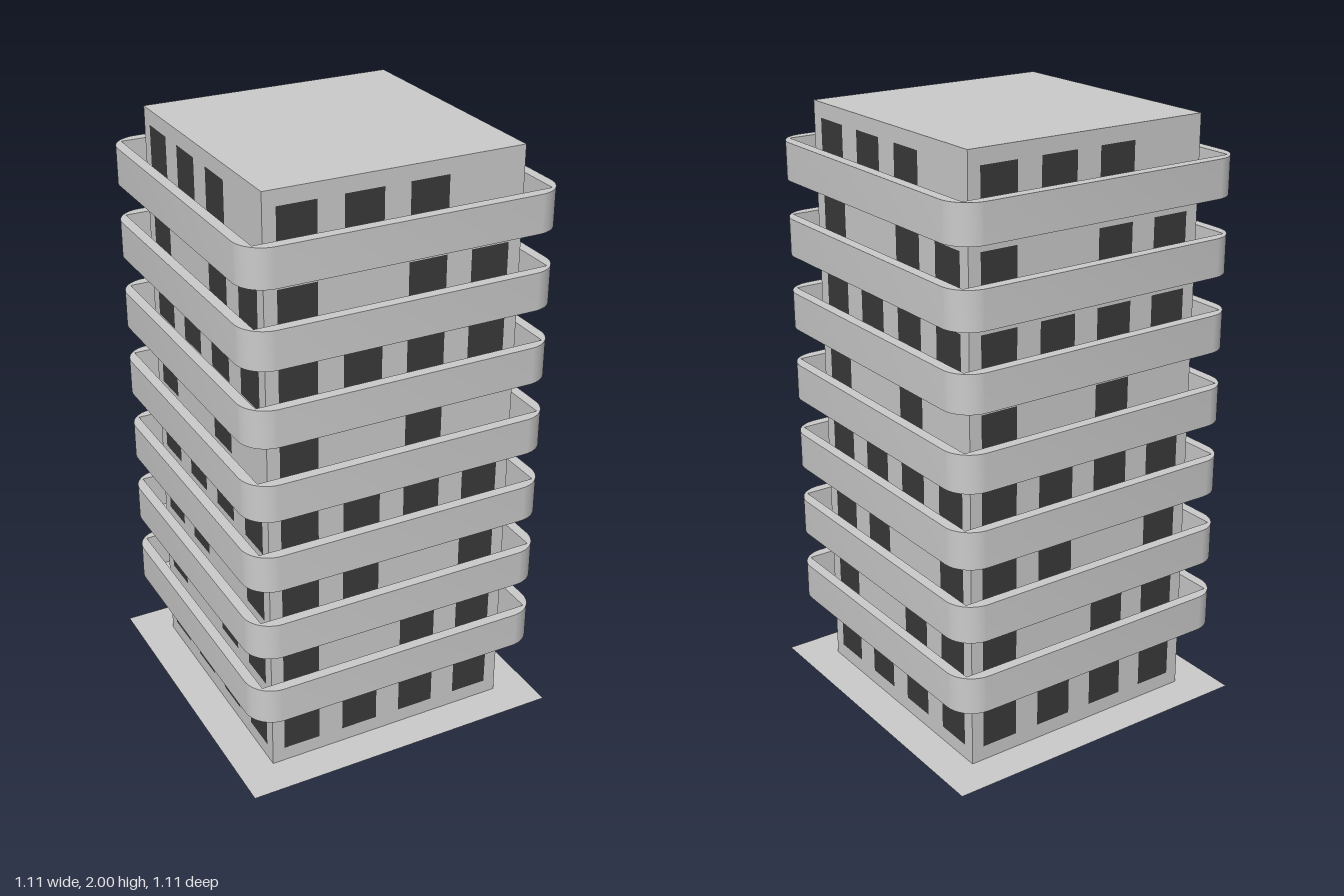
import * as THREE from 'three';
import { toCreasedNormals } from 'three/addons/utils/BufferGeometryUtils.js';

const HALF = 0.43;      // half width of the tower
const STOREY = 0.25;    // storey height
const CELL = HALF / 2;  // window spacing
// Windows on each storey, ground floor first, left to right
const PATTERN = ['1111', '1011', '1101', '1111', '1010', '1111', '1011', '1110'];

const grey = new THREE.MeshStandardMaterial({ color: 0xcccccc, side: THREE.DoubleSide });
const dark = new THREE.MeshStandardMaterial({ color: 0x3a3a3a, side: THREE.DoubleSide });

function rect(x0, y0, x1, y1, Type = THREE.Shape) {
  return new Type([[x0, y0], [x1, y0], [x1, y1], [x0, y1]].map(p => new THREE.Vector2(...p)));
}

function squareRing(outer, inner) {
  const shape = rect(-outer, -outer, outer, outer);
  shape.holes.push(rect(-inner, -inner, inner, inner, THREE.Path));
  return shape;
}

function roundedSquare(h, r) {
  const s = new THREE.Shape(), c = h - r;
  s.absarc(c, c, r, 0, Math.PI / 2);
  s.absarc(-c, c, r, Math.PI / 2, Math.PI);
  s.absarc(-c, -c, r, Math.PI, Math.PI * 1.5);
  s.absarc(c, -c, r, Math.PI * 1.5, Math.PI * 2);
  s.closePath();
  return s;
}

function part(name, geometry, material, y = 0) {
  const mesh = new THREE.Mesh(geometry, material);
  mesh.name = name;
  mesh.position.y = y;
  return mesh;
}

const flat = shape => new THREE.ShapeGeometry(shape).rotateX(-Math.PI / 2);

export function createModel() {
  const tower = new THREE.Group();
  tower.name = 'apartmentTower';

  // One facade: wall with openings and flush panes, repeated on four sides
  const wall = rect(-HALF, 0, HALF, STOREY * PATTERN.length);
  const panes = [];
  PATTERN.forEach((row, floor) => [...row].forEach((on, i) => {
    if (on !== '1') return;
    const x = (i - 1.5) * CELL, w = CELL * 0.3, y = floor * STOREY;
    const corners = [x - w, y + 0.05, x + w, y + 0.2];
    wall.holes.push(rect(...corners, THREE.Path));
    panes.push(rect(...corners));
  }));
  const wallGeo = new THREE.ShapeGeometry(wall).translate(0, 0, HALF);
  const paneGeo = new THREE.ShapeGeometry(panes).translate(0, 0, HALF);
  ['front', 'left', 'back', 'right'].forEach((side, i) => {
    const facade = new THREE.Group();
    facade.name = side + 'Facade';
    facade.add(part('wall', wallGeo, grey), part('windows', paneGeo, dark));
    facade.rotation.y = i * Math.PI / 2;
    tower.add(facade);
  });

  // Wrap-around balconies: thin floor and a parapet with rounded outer corners
  const rim = roundedSquare(0.525, 0.095);
  rim.holes.push(rect(-0.49, -0.49, 0.49, 0.49, THREE.Path));
  const parapetGeo = toCreasedNormals(
    new THREE.ExtrudeGeometry(rim, { depth: 0.125, bevelEnabled: false, curveSegments: 8 }).rotateX(-Math.PI / 2), 0.6);
  const floorGeo = flat(squareRing(0.49, 0.37));
  for (let f = 1; f < PATTERN.length; f++) {
    const balcony = new THREE.Group();
    balcony.name = 'balcony' + f;
    balcony.position.y = f * STOREY;
    balcony.add(part('parapet', parapetGeo, grey), part('balconyFloor', floorGeo, grey));
    tower.add(balcony);
  }

  // Roof and pavement
  tower.add(part('roof', flat(rect(-HALF, -HALF, HALF, HALF)), grey, STOREY * PATTERN.length));
  tower.add(part('pavement', flat(squareRing(0.555, HALF)), grey));
  return tower;
}
